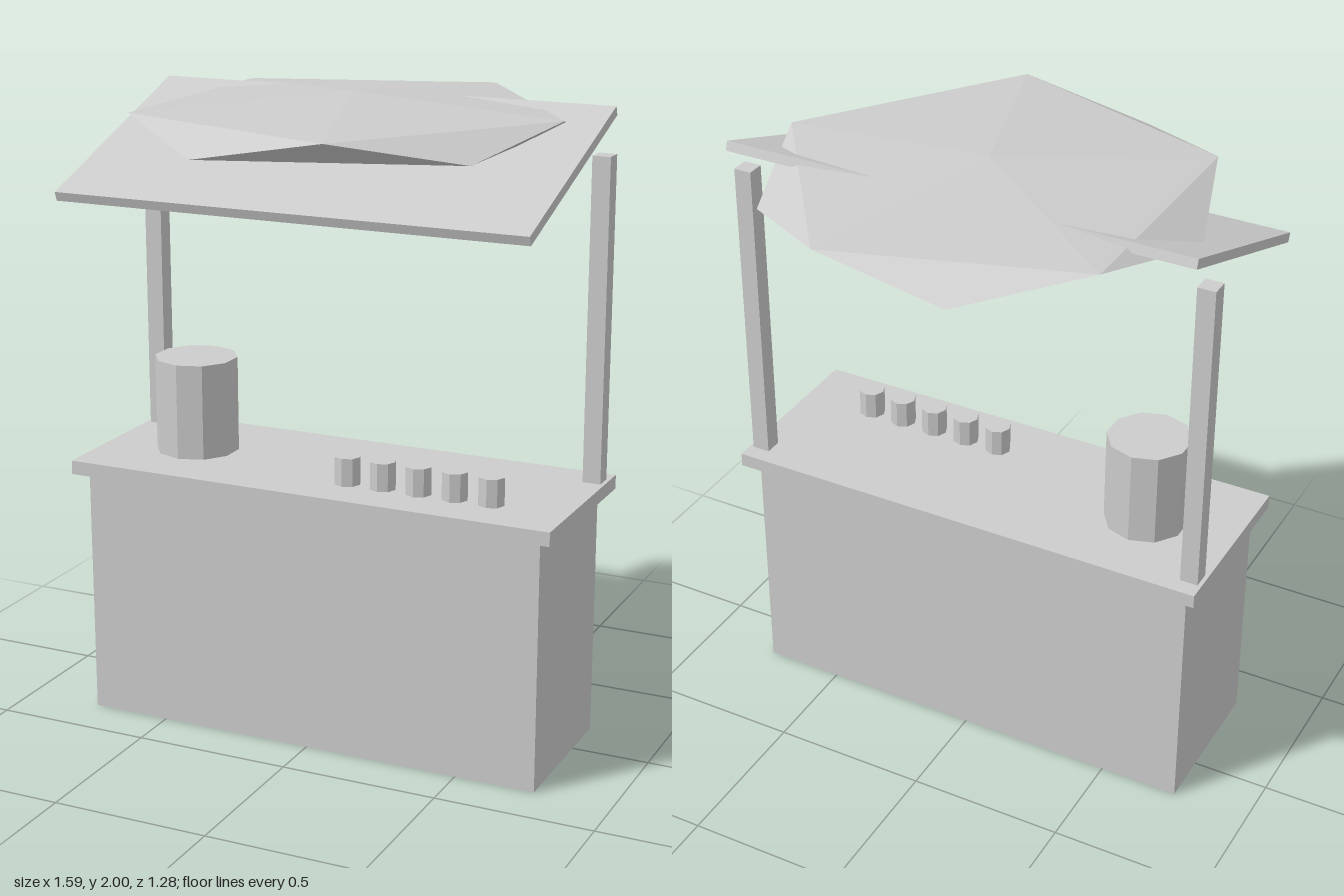
import * as THREE from 'three';
import { ConvexGeometry } from 'three/addons/geometries/ConvexGeometry.js';

export function createModel() {
  const group = new THREE.Group();
  const grey = new THREE.MeshStandardMaterial({ color: 0xcccccc });
  grey.name = 'plainGrey';
  grey.flatShading = true;

  const add = (name, geometry, x, y, z) => {
    const mesh = new THREE.Mesh(geometry, grey);
    mesh.name = name;
    mesh.position.set(x, y, z);
    group.add(mesh);
    return mesh;
  };

  // Stall body and counter top
  add('base', new THREE.BoxGeometry(1.51, 0.795, 0.505), 0, 0.3975, 0.0875);
  add('counterTop', new THREE.BoxGeometry(1.594, 0.044, 0.585), 0, 0.816, 0.0835);

  // Posts at the back corners
  for (const side of [-1, 1]) {
    add(side > 0 ? 'leftPost' : 'rightPost',
      new THREE.BoxGeometry(0.057, 1.02, 0.057), side * 0.756, 1.332, -0.127);
  }

  // Awning board sloping down to the front
  const awning = add('awning', new THREE.BoxGeometry(1.51, 0.03, 0.75), 0, 1.829, 0.124);
  awning.rotation.x = THREE.MathUtils.degToRad(20);

  // Flattened icosahedron canopy: two poles and two staggered rings of five
  const points = [new THREE.Vector3(0, 0.084, 0), new THREE.Vector3(0, -0.084, 0)];
  for (let i = 0; i < 10; i++) {
    const a = i * Math.PI / 5;
    points.push(new THREE.Vector3(0.674 * Math.cos(a), i % 2 ? -0.0376 : 0.0376, 0.674 * Math.sin(a)));
  }
  add('canopy', new ConvexGeometry(points), 0, 1.916, 0);

  // Drink urn and a row of cups
  add('urn', new THREE.CylinderGeometry(0.132, 0.132, 0.304, 10), -0.504, 0.99, 0.0865);
  for (let i = 0; i < 5; i++) {
    add('cup' + (i + 1), new THREE.CylinderGeometry(0.042, 0.042, 0.089, 8),
      0.082 + i * 0.1175, 0.8815, 0.211);
  }
  return group;
}
